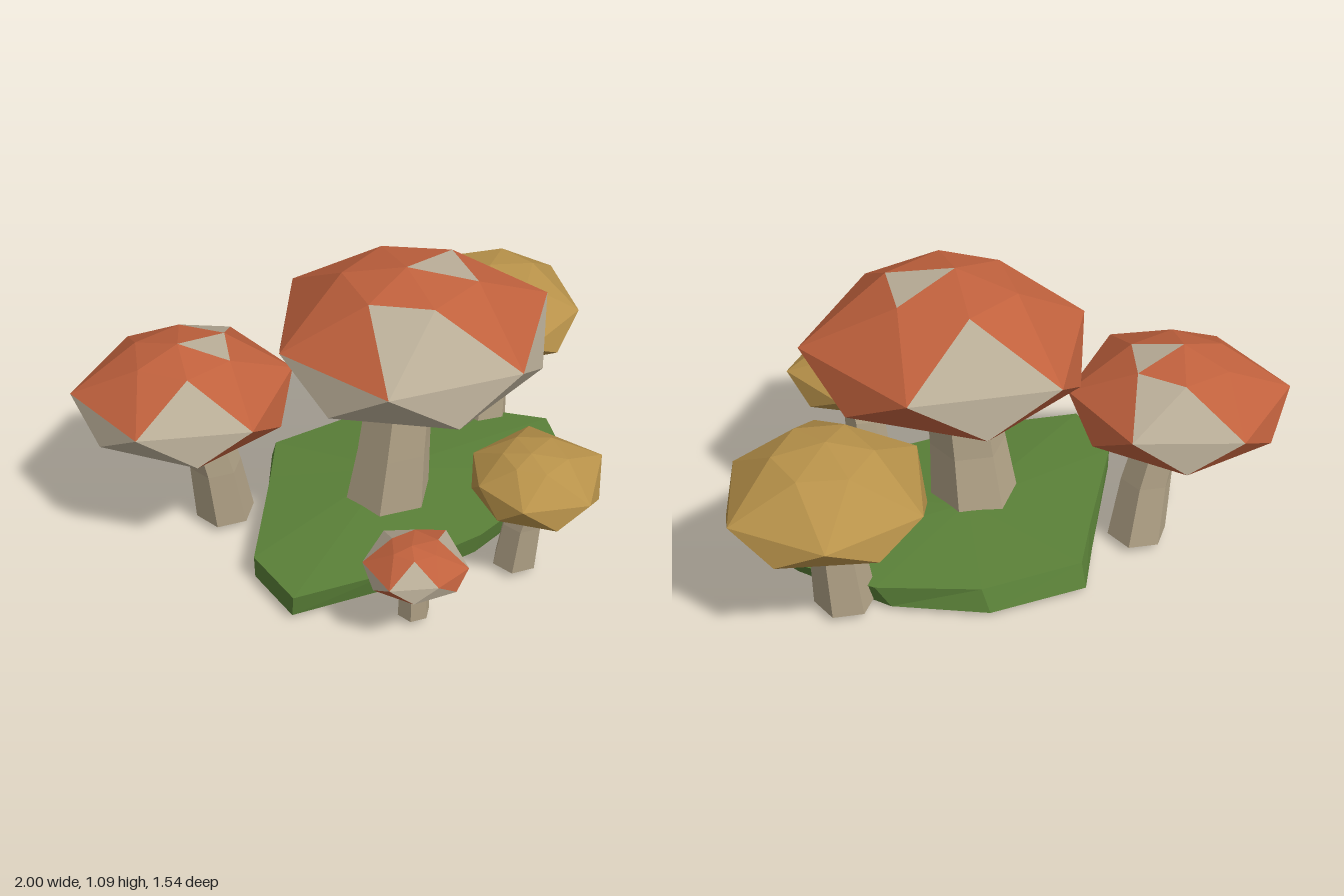
import * as THREE from 'three';

const RED = 0xc0613d, YELLOW = 0xb8924a, CREAM = 0xb9ad97, STALK = 0xb3a488, GREEN = 0x5a8038;

// Flat-shaded mesh from a list of triangles, each made of three Vector3
function facets(name, triangles, color) {
  const geometry = new THREE.BufferGeometry().setFromPoints(triangles.flat());
  geometry.computeVertexNormals();
  const mesh = new THREE.Mesh(geometry, new THREE.MeshStandardMaterial({ color, flatShading: true }));
  mesh.name = name;
  return mesh;
}

// Cap: a rim outline, a staggered ring above and below it, and a centre at top and bottom.
// y = [bottom, rim, shoulder, top]; patches name the cream facets, such as 'slope3'.
function cap(name, color, rim, y, patches = []) {
  const n = rim.length;
  const cx = rim.reduce((s, p) => s + p[0], 0) / n;
  const cz = rim.reduce((s, p) => s + p[1], 0) / n;
  const at = (list, i) => list[(i + n) % n];
  const edge = rim.map(([x, z]) => new THREE.Vector3(x, y[1], z));
  const ring = (k, h) => edge.map((p, i) => {
    const m = p.clone().add(at(edge, i + 1)).multiplyScalar(0.5);
    return new THREE.Vector3(cx + (m.x - cx) * k, h, cz + (m.z - cz) * k);
  });
  const upper = ring(0.54, y[2]), lower = ring(1.07, y[0]);
  const top = new THREE.Vector3(cx - 0.02, y[3], cz + 0.01);
  const bottom = new THREE.Vector3(cx, y[0], cz);
  const main = [], cream = [];
  const put = (id, ...t) => (patches.includes(id) ? cream : main).push(t);
  for (let i = 0; i < n; i++) {
    const a = edge[i], b = at(edge, i + 1);
    put('slope' + i, b, a, upper[i]);
    put('wedge' + i, at(upper, i - 1), upper[i], a);
    put('crown' + i, at(upper, i + 1), upper[i], top);
    put('skirt' + i, a, b, lower[i]);
    put('gusset' + i, lower[i], at(lower, i - 1), a);
    put('under' + i, lower[i], at(lower, i + 1), bottom);
  }
  const group = new THREE.Group();
  group.name = name;
  group.add(facets('capShell', main, color));
  if (cream.length) group.add(facets('capPatches', cream, CREAM));
  return group;
}

// Stem: six-sided sections [x, y, z, radius] joined from the ground up
function stem(name, sections) {
  const n = 6, tris = [];
  const rings = sections.map(([x, y, z, r]) => Array.from({ length: n }, (_, i) => {
    const a = (i / n) * Math.PI * 2 + 0.25;
    return new THREE.Vector3(x + r * Math.sin(a), y, z + r * Math.cos(a));
  }));
  const first = rings[0], last = rings[rings.length - 1];
  for (let i = 0; i < n; i++) {
    const j = (i + 1) % n;
    for (let k = 0; k + 1 < rings.length; k++) {
      const lo = rings[k], hi = rings[k + 1];
      tris.push([lo[i], lo[j], hi[j]], [lo[i], hi[j], hi[i]]);
    }
    if (i > 0 && j > 0) tris.push([first[0], first[j], first[i]], [last[0], last[i], last[j]]);
  }
  return facets(name, tris, STALK);
}

// Ground: irregular slab with a slightly raised top and a shallow belly
function ground() {
  const outline = [[-0.21, -0.53], [0.17, -0.5], [0.5, -0.33], [0.75, -0.04], [0.62, 0.27],
    [0.1, 0.37], [-0.28, 0.35], [-0.63, 0.26], [-0.63, 0], [-0.34, -0.36]];
  const n = outline.length, tris = [];
  const upper = outline.map(([x, z]) => new THREE.Vector3(x, 0.11, z));
  const lower = outline.map(([x, z]) =>
    new THREE.Vector3(x > 0 ? x * 0.9 : x, 0.022, z < 0 ? z * 1.07 : z * 0.95));
  const top = new THREE.Vector3(0.03, 0.15, -0.1), belly = new THREE.Vector3(0, 0, -0.1);
  for (let i = 0; i < n; i++) {
    const j = (i + 1) % n;
    tris.push([upper[j], upper[i], top], [upper[i], upper[j], lower[j]],
      [upper[i], lower[j], lower[i]], [lower[i], lower[j], belly]);
  }
  return facets('ground', tris, GREEN);
}

export function createModel() {
  const model = new THREE.Group();
  model.name = 'mushroomCluster';
  model.add(ground());

  // Tall central mushroom
  model.add(stem('centralStem', [[-0.04, 0.1, -0.02, 0.165], [-0.02, 0.36, 0, 0.14], [0.02, 0.74, 0.01, 0.12]]));
  model.add(cap('centralCap', RED,
    [[-0.13, -0.48], [0.37, -0.35], [0.56, 0.13], [0.165, 0.48], [-0.29, 0.35], [-0.43, -0.09]],
    [0.7, 0.85, 1.035, 1.085],
    ['slope0', 'slope3', 'wedge4', 'crown1', 'skirt0', 'skirt2', 'skirt3', 'skirt4', 'gusset3', 'gusset4']));

  // Red mushroom at the back
  model.add(stem('backStem', [[-0.53, 0.03, -0.38, 0.11], [-0.56, 0.27, -0.37, 0.095], [-0.62, 0.58, -0.38, 0.08]]));
  model.add(cap('backCap', RED,
    [[-0.67, -0.77], [-0.33, -0.61], [-0.285, -0.25], [-0.6, 0], [-0.945, -0.18], [-1, -0.56]],
    [0.535, 0.65, 0.775, 0.82],
    ['slope0', 'wedge1', 'slope3', 'crown1', 'skirt0', 'skirt3', 'skirt4', 'gusset4']));

  // Yellow mushroom at the side
  model.add(stem('sideStem', [[0.58, 0.03, -0.25, 0.11], [0.6, 0.27, -0.25, 0.095], [0.65, 0.52, -0.27, 0.08]]));
  model.add(cap('sideCap', YELLOW,
    [[0.415, -0.57], [0.77, -0.61], [1, -0.35], [0.87, -0.03], [0.54, 0.07], [0.28, -0.22]],
    [0.485, 0.58, 0.715, 0.748]));

  // Small yellow mushroom in front
  model.add(stem('frontYellowStem', [[0.18, 0.03, 0.47, 0.085], [0.19, 0.22, 0.49, 0.075], [0.215, 0.39, 0.53, 0.06]]));
  model.add(cap('frontYellowCap', YELLOW,
    [[0.1, 0.31], [0.36, 0.3], [0.46, 0.58], [0.24, 0.77], [0.03, 0.67], [0, 0.47]],
    [0.362, 0.445, 0.52, 0.542]));

  // Small red mushroom in front
  model.add(stem('frontRedStem', [[-0.28, 0.03, 0.48, 0.058], [-0.285, 0.18, 0.49, 0.052], [-0.315, 0.31, 0.53, 0.045]]));
  model.add(cap('frontRedCap', RED,
    [[-0.32, 0.36], [-0.145, 0.48], [-0.2, 0.68], [-0.34, 0.7], [-0.48, 0.62], [-0.47, 0.45]],
    [0.275, 0.33, 0.395, 0.415],
    ['slope1', 'slope5', 'wedge0', 'slope3', 'skirt3', 'skirt4', 'gusset3']));

  return model;
}
